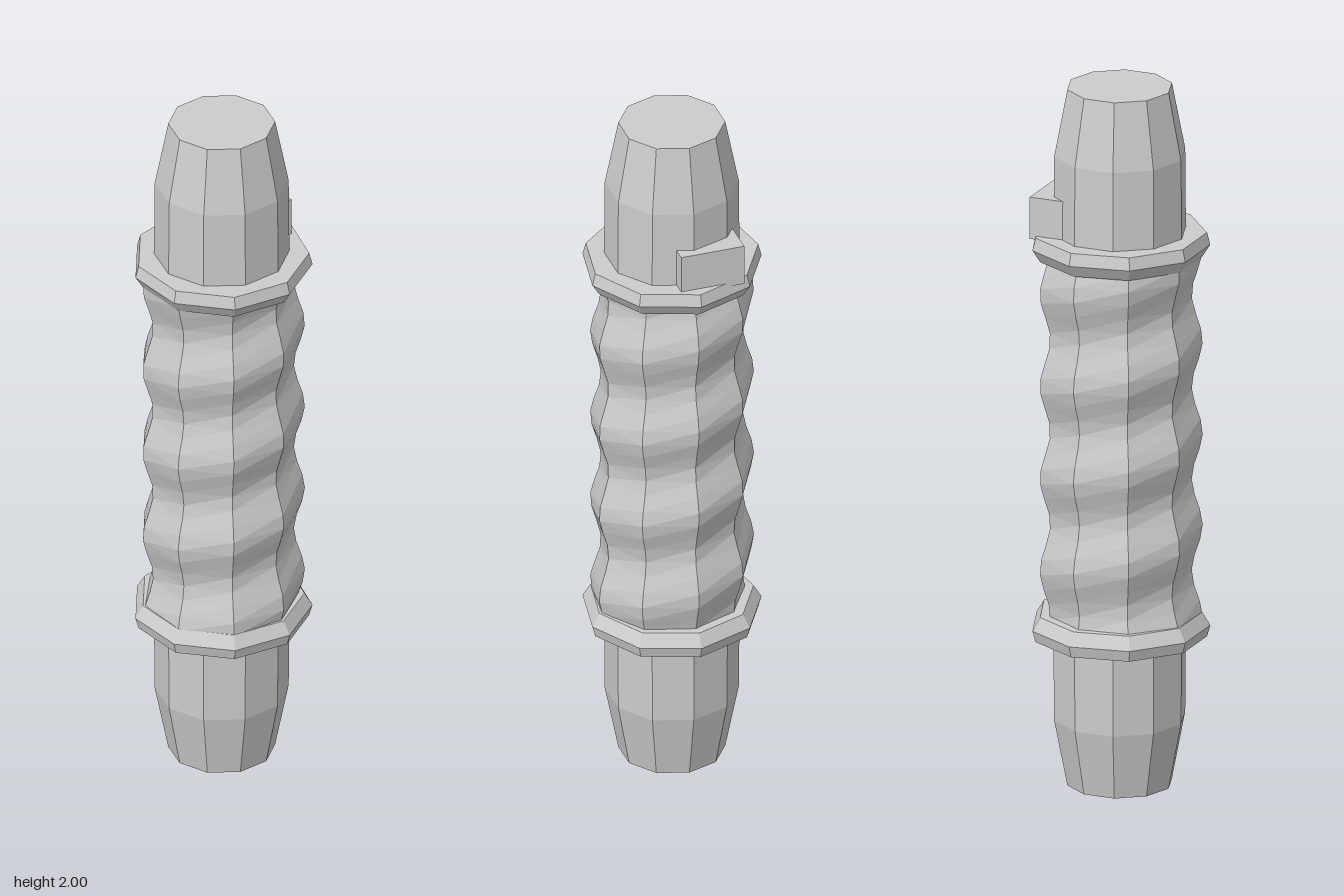
import * as THREE from 'three';

export function createModel() {
  const group = new THREE.Group();
  const grey = new THREE.MeshStandardMaterial({ color: 0xcccccc, flatShading: true });
  grey.name = 'light grey';
  const axisX = -0.008;

  const add = (name, geometry, x = axisX, y = 0, z = 0) => {
    const mesh = new THREE.Mesh(geometry, grey);
    mesh.name = name;
    mesh.position.set(x, y, z);
    group.add(mesh);
  };
  // Faceted turning with one corner on +x; points run from bottom to top
  const turned = (points, sides) => new THREE.LatheGeometry(
    points.map(([r, y]) => new THREE.Vector2(r, y)), sides, Math.PI / 2);

  // Ten-sided core with tapered ends
  add('core', turned([[0, 0], [0.146, 0], [0.183, 0.19], [0.185, 0.42],
    [0.185, 1.58], [0.183, 1.81], [0.146, 2], [0, 2]], 10));

  // Nine-sided collars at both ends of the grip
  add('upperCollar', turned([[0.17, 1.515], [0.226, 1.515], [0.248, 1.55],
    [0.239, 1.585], [0.17, 1.585]], 9));
  add('lowerCollar', turned([[0.17, 0.424], [0.239, 0.424], [0.248, 0.456],
    [0.226, 0.493], [0.17, 0.493]], 9));

  // Grip with a wavy spiral groove
  const pitch = 0.265;
  const grip = new THREE.CylinderGeometry(0.21, 0.21, 1.04, 9, 24, true, Math.PI / 2);
  grip.translate(0, 1.005, 0);
  const pos = grip.attributes.position;
  for (let i = 0; i < pos.count; i++) {
    const y = pos.getY(i);
    const angle = Math.atan2(pos.getZ(i), pos.getX(i));
    const r = 0.212 - 0.015 * Math.cos((y - 0.995) / pitch * Math.PI * 2 + angle);
    pos.setXYZ(i, r * Math.cos(angle), y, r * Math.sin(angle));
  }
  grip.computeVertexNormals();
  add('grip', grip);

  // Switch block beside the upper collar
  add('switchBlock', new THREE.BoxGeometry(0.1, 0.12, 0.182), 0.15, 1.635, -0.046);

  return group;
}
